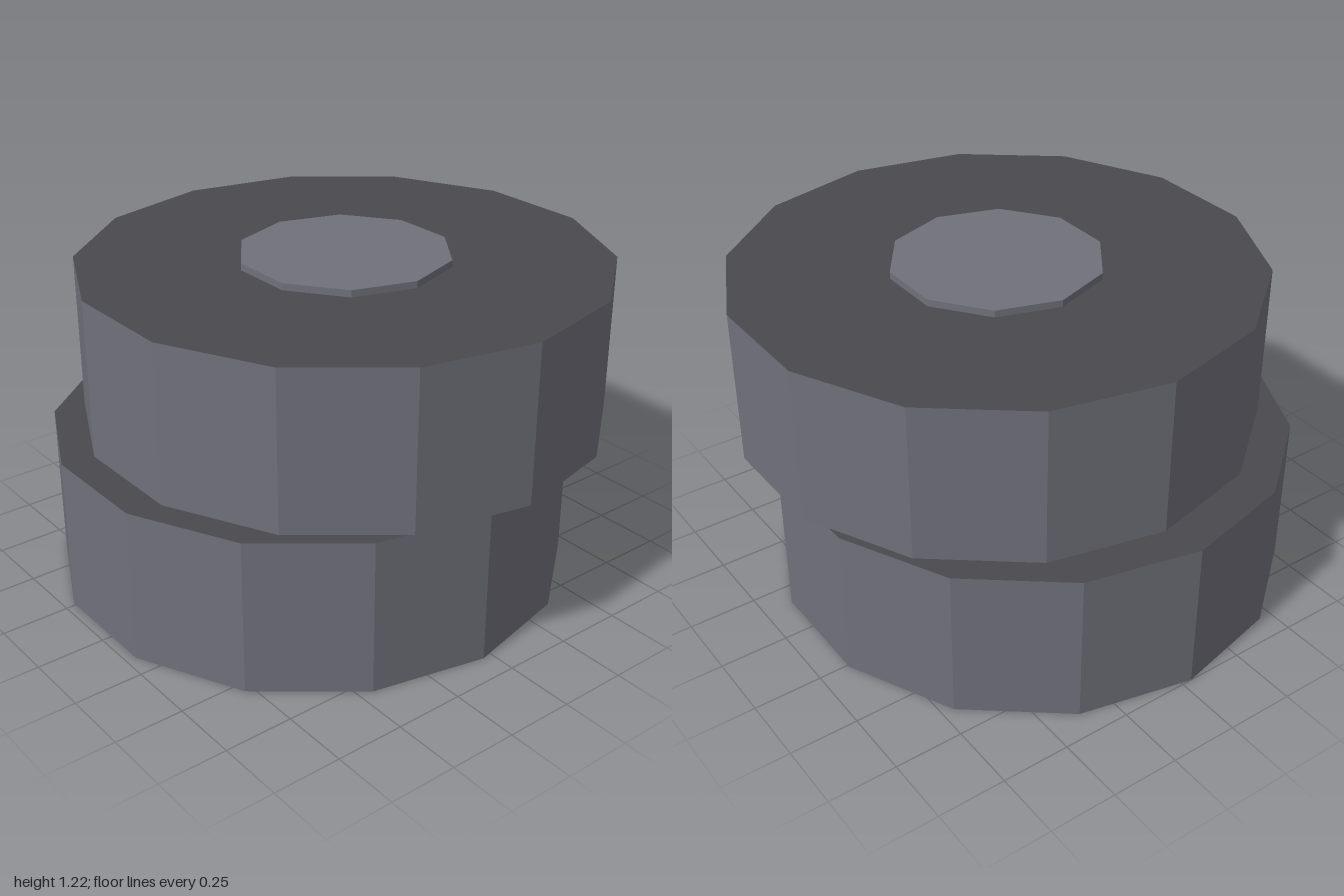
import * as THREE from 'three';

export function createModel() {
  const model = new THREE.Group();
  const steel = new THREE.MeshStandardMaterial({ name: 'steelGrey', color: 0x70707a, flatShading: true });
  const dark = new THREE.MeshStandardMaterial({ name: 'darkGrey', color: 0x4a4a4e, flatShading: true });

  // Faceted disc with a corner pointing along +x, standing on the given y
  function disc(name, radius, height, sides, y, material) {
    const geometry = new THREE.CylinderGeometry(radius, radius, height, sides, 1, false, Math.PI / 2);
    const mesh = new THREE.Mesh(geometry, material);
    mesh.name = name;
    mesh.position.y = y + height / 2;
    return mesh;
  }

  // Wide drum with dark end faces and a low raised hub on top
  function drum(name, x, y, z) {
    const group = new THREE.Group();
    group.name = name;
    group.add(disc('drumBody', 0.95, 0.57, 14, 0, [steel, dark, dark]));
    group.add(disc('hub', 0.38, 0.025, 10, 0.57, steel));
    group.position.set(x, y, z);
    return group;
  }

  // Two drums stacked slightly off centre
  model.add(drum('lowerDrum', -0.05, 0, 0.037));
  model.add(drum('upperDrum', 0.05, 0.62, -0.037));
  return model;
}
